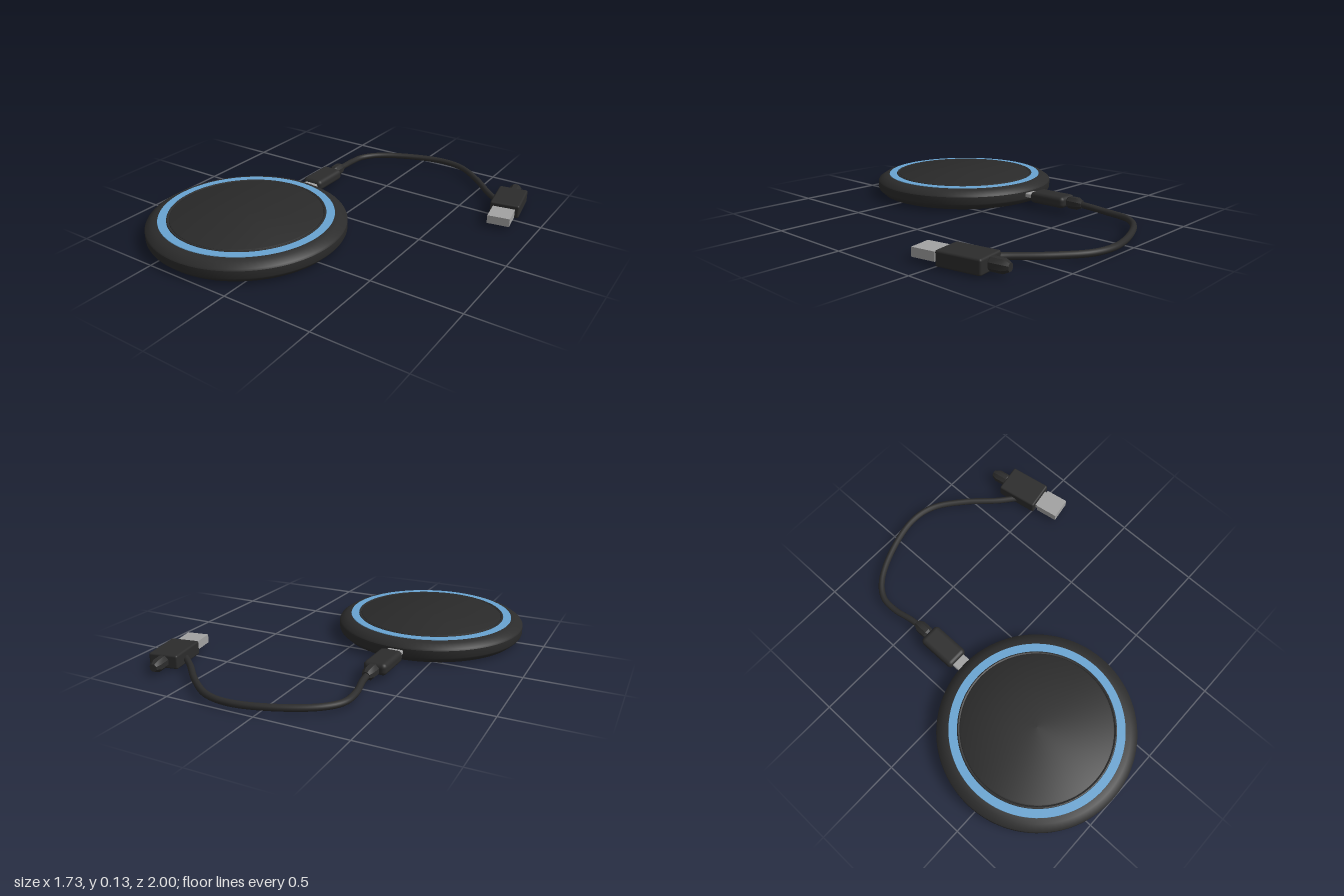
import * as THREE from 'three';
import { toCreasedNormals } from 'three/addons/utils/BufferGeometryUtils.js';
import { RoundedBoxGeometry } from 'three/addons/geometries/RoundedBoxGeometry.js';

const material = (name, color) => {
  const m = new THREE.MeshStandardMaterial({ color });
  m.name = name;
  return m;
};

export function createModel() {
  const black = material('black plastic', 0x2c2c2c);
  const padBlack = material('pad black', 0x2a2a2a);
  const blue = material('blue ring', 0x68a4d2);
  const silver = material('plug metal', 0xa2a2a2);

  const model = new THREE.Group();
  model.name = 'wirelessCharger';

  const add = (parent, name, geometry, mat, x = 0, y = 0, z = 0) => {
    const mesh = new THREE.Mesh(geometry, mat);
    mesh.name = name;
    mesh.position.set(x, y, z);
    parent.add(mesh);
    return mesh;
  };
  const lathe = (profile, segments = 96) => toCreasedNormals(
    new THREE.LatheGeometry(profile.map(([r, y]) => new THREE.Vector2(r, y)), segments), 0.5);
  const group = (name, x, y, z, turn = 0) => {
    const g = new THREE.Group();
    g.name = name;
    g.position.set(x, y, z);
    g.rotation.y = turn;
    model.add(g);
    return g;
  };

  // Charging disc with chamfered rim, blue ring and raised pad
  const disc = group('chargingDisc', -0.32, 0, 0.453);
  add(disc, 'discBody', lathe([
    [0, 0], [0.495, 0], [0.515, 0.007], [0.543, 0.033], [0.547, 0.042],
    [0.547, 0.083], [0.542, 0.092], [0.508, 0.114], [0.48, 0.12], [0, 0.12],
  ]), black);
  add(disc, 'blueRing', lathe([
    [0.479, 0.118], [0.477, 0.123], [0.432, 0.123], [0.43, 0.118],
  ]), blue);
  add(disc, 'padRim', lathe([
    [0.432, 0.118], [0.43, 0.125], [0.425, 0.127], [0.418, 0.124], [0.416, 0.119],
  ]), black);
  add(disc, 'chargingPad', lathe([
    [0.418, 0.118], [0.416, 0.124], [0.41, 0.127], [0, 0.127],
  ]), padBlack);

  // Strain relief sleeve pointing to -z, bevelled at its free end
  const sleeve = (parent, z, length, radius) => {
    const geometry = lathe([
      [radius * 0.75, 0], [radius, 0.012], [radius, length - 0.03],
      [radius * 0.6, length], [0, length],
    ], 8);
    geometry.rotateY(Math.PI / 8).rotateX(-Math.PI / 2);
    add(parent, 'strainRelief', geometry, black, 0, 0, z);
  };

  // Small plug in the back of the disc
  const smallPlug = group('smallPlug', -0.322, 0.062, -0.258);
  add(smallPlug, 'smallPlugBody', new RoundedBoxGeometry(0.13, 0.066, 0.236, 3, 0.024), black);
  add(smallPlug, 'smallPlugTip', new RoundedBoxGeometry(0.088, 0.026, 0.12, 2, 0.008), silver, 0, 0, 0.14);
  sleeve(smallPlug, -0.115, 0.098, 0.036);

  // Large plug at the other end of the cable
  const largePlug = group('largePlug', 0.757, 0.047, -0.62, 0.168);
  add(largePlug, 'largePlugBody', new RoundedBoxGeometry(0.168, 0.078, 0.244, 2, 0.011), black);
  add(largePlug, 'largePlugTip', new THREE.BoxGeometry(0.126, 0.048, 0.132), silver, 0, -0.001, 0.203);
  add(largePlug, 'largePlugNeck', new THREE.BoxGeometry(0.11, 0.03, 0.05), silver, 0, -0.001, 0.125);
  sleeve(largePlug, -0.112, 0.107, 0.036);

  // Cable resting close to the ground
  const path = new THREE.CatmullRomCurve3([
    [-0.322, 0.062, -0.43], [-0.328, 0.055, -0.52], [-0.345, 0.04, -0.63],
    [-0.335, 0.034, -0.74], [-0.265, 0.034, -0.83], [-0.09, 0.034, -0.925],
    [0.14, 0.034, -0.982], [0.29, 0.034, -0.955], [0.45, 0.034, -0.84],
    [0.6, 0.034, -0.69], [0.69, 0.036, -0.615],
  ].map((p) => new THREE.Vector3(...p)));
  add(model, 'cable', new THREE.TubeGeometry(path, 72, 0.018, 10), black);

  return model;
}
